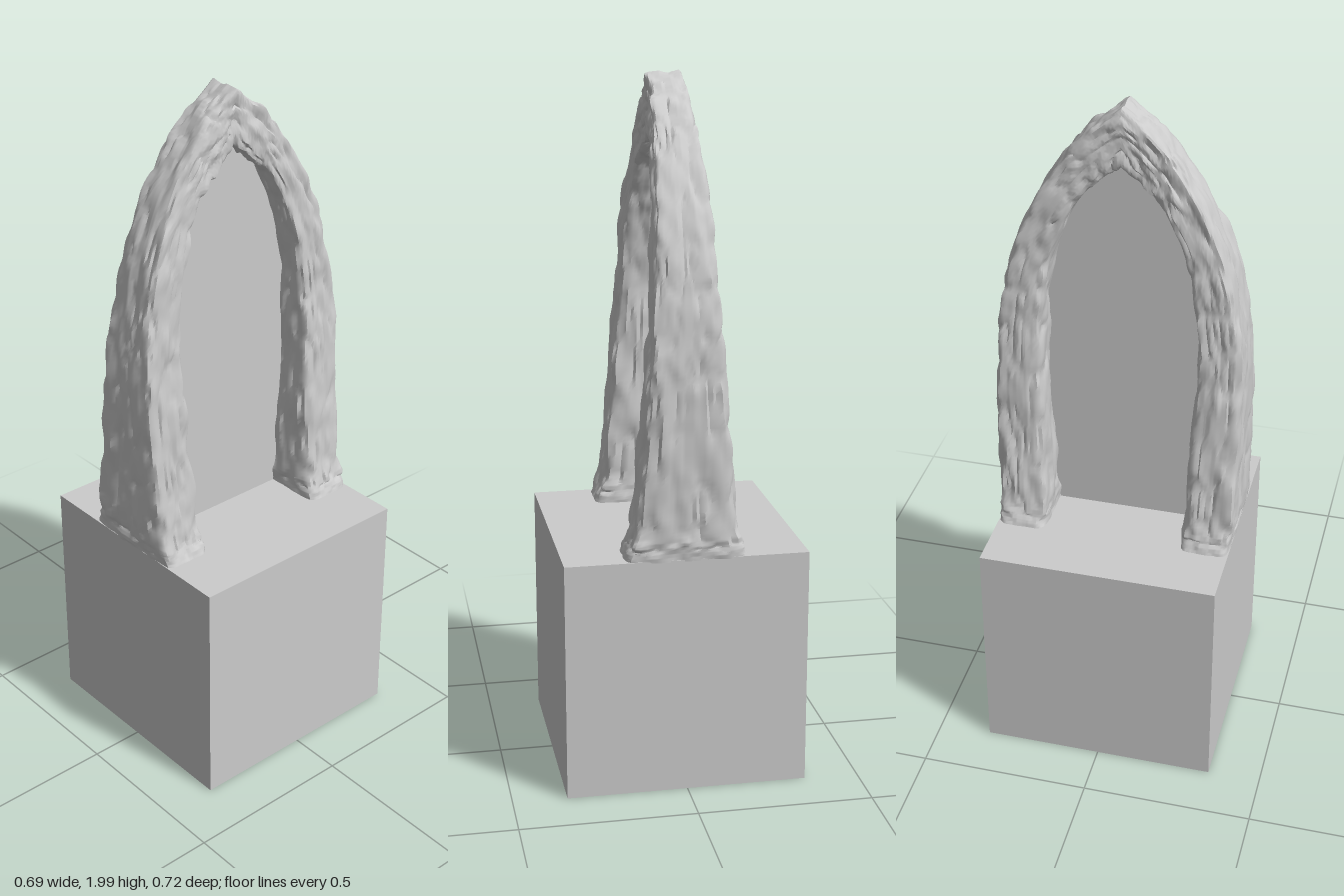
import * as THREE from 'three';
import { toCreasedNormals } from 'three/addons/utils/BufferGeometryUtils.js';

const BASE = 0.69;

// Half arch from foot to apex: outer z, outer y, inner z, inner y, half width
const STATIONS = [
  [0.345, 0.685, 0.2, 0.685, 0.175],
  [0.35, 0.75, 0.203, 0.75, 0.15],
  [0.352, 0.95, 0.21, 0.95, 0.126],
  [0.352, 1.2, 0.222, 1.2, 0.104],
  [0.332, 1.42, 0.215, 1.4, 0.088],
  [0.278, 1.62, 0.182, 1.58, 0.076],
  [0.18, 1.81, 0.115, 1.72, 0.064],
  [0.09, 1.92, 0.055, 1.785, 0.057],
  [0, 1.992, 0, 1.825, 0.05],
];

const curve = (pick) => new THREE.CatmullRomCurve3(STATIONS.map(pick));
const outerCurve = curve((s) => new THREE.Vector3(s[4], s[1], s[0]));
const innerCurve = curve((s) => new THREE.Vector3(s[4], s[3], s[2]));

// Smooth value noise in the range -1 to 1
function hash(x, y, z) {
  let h = Math.imul(x, 374761393) ^ Math.imul(y, 668265263) ^ Math.imul(z, 1274126177);
  h = Math.imul(h ^ (h >>> 13), 1103515245);
  return (((h ^ (h >>> 16)) >>> 0) / 4294967295) * 2 - 1;
}
function noise(x, y, z) {
  const xi = Math.floor(x), yi = Math.floor(y), zi = Math.floor(z);
  const fade = (t) => t * t * (3 - 2 * t);
  const u = fade(x - xi), v = fade(y - yi), w = fade(z - zi);
  let sum = 0;
  for (let a = 0; a < 2; a++)
    for (let b = 0; b < 2; b++)
      for (let c = 0; c < 2; c++)
        sum += (a ? u : 1 - u) * (b ? v : 1 - v) * (c ? w : 1 - w) * hash(xi + a, yi + b, zi + c);
  return sum;
}

// Bark relief: ridges stretched along the length of the arch
function bark(x, along, depth) {
  const coarse = noise(x * 30, along * 11, depth * 30);
  const fine = noise(x * 65 + 9, along * 24, depth * 65 + 4);
  const groove = 1 - Math.abs(noise(x * 45 + 31, along * 9 + 5, depth * 45));
  return 0.006 * coarse + 0.004 * fine - 0.007 * groove ** 4 + 0.002;
}

// Loft of squarish sections from the front foot over the apex to the back foot
function archGeometry() {
  const rows = 260, sides = 80;
  const positions = [], index = [];
  for (let i = 0; i <= rows; i++) {
    const s = 1 - (2 * i) / rows;
    const t = 1 - Math.abs(s), side = s < 0 ? -1 : 1;
    const o = outerCurve.getPoint(t), n = innerCurve.getPoint(t);
    const thick = Math.hypot(o.y - n.y, o.z - n.z);
    const ez = (o.z - n.z) / thick, ey = (o.y - n.y) / thick;
    const strength = 0.25 + 0.75 * Math.min(1, t * 12);
    for (let j = 0; j < sides; j++) {
      const a = (j / sides) * Math.PI * 2;
      const c = Math.cos(a), d = Math.sin(a);
      const r = (Math.abs(c) ** 9 + Math.abs(d) ** 9) ** (-1 / 9);
      let x = c * r * o.x, depth = (d * r * thick) / 2;
      const bump = bark(x, s * 1.5, depth) * strength;
      x += c * r * bump;
      depth += d * r * bump;
      positions.push(x, (o.y + n.y) / 2 + ey * depth, side * ((o.z + n.z) / 2 + ez * depth));
      if (i < rows) {
        const k = i * sides, j2 = (j + 1) % sides;
        const p = k + j, q = k + j2;
        index.push(p, p + sides, q, q, p + sides, q + sides);
      }
    }
  }
  const geo = new THREE.BufferGeometry();
  geo.setAttribute('position', new THREE.Float32BufferAttribute(positions, 3));
  geo.setIndex(index);
  return toCreasedNormals(geo, 0.7);
}

// Flat sheet that fills the opening and ends inside the arch
function panelGeometry() {
  const half = [];
  for (let i = 0; i <= 24; i++) {
    const o = outerCurve.getPoint(i / 24), n = innerCurve.getPoint(i / 24);
    half.push(new THREE.Vector2((o.z + n.z) / 2, (o.y + n.y) / 2));
  }
  const mirrored = half.slice(0, -1).reverse().map((p) => new THREE.Vector2(-p.x, p.y));
  return new THREE.ShapeGeometry(new THREE.Shape([...half, ...mirrored])).rotateY(Math.PI / 2);
}

export function createModel() {
  const group = new THREE.Group();
  const grey = new THREE.MeshStandardMaterial({ color: 0xcccccc });
  const sheet = new THREE.MeshStandardMaterial({ color: 0xcccccc, side: THREE.DoubleSide });
  const add = (name, geometry, material) => {
    const mesh = new THREE.Mesh(geometry, material);
    mesh.name = name;
    group.add(mesh);
    return mesh;
  };

  // Cube pedestal
  add('pedestal', new THREE.BoxGeometry(BASE, BASE, BASE), grey).position.y = BASE / 2;
  // Rough pointed arch
  add('arch', archGeometry(), grey);
  // Thin sheet across the doorway
  add('doorwayPanel', panelGeometry(), sheet);

  return group;
}
